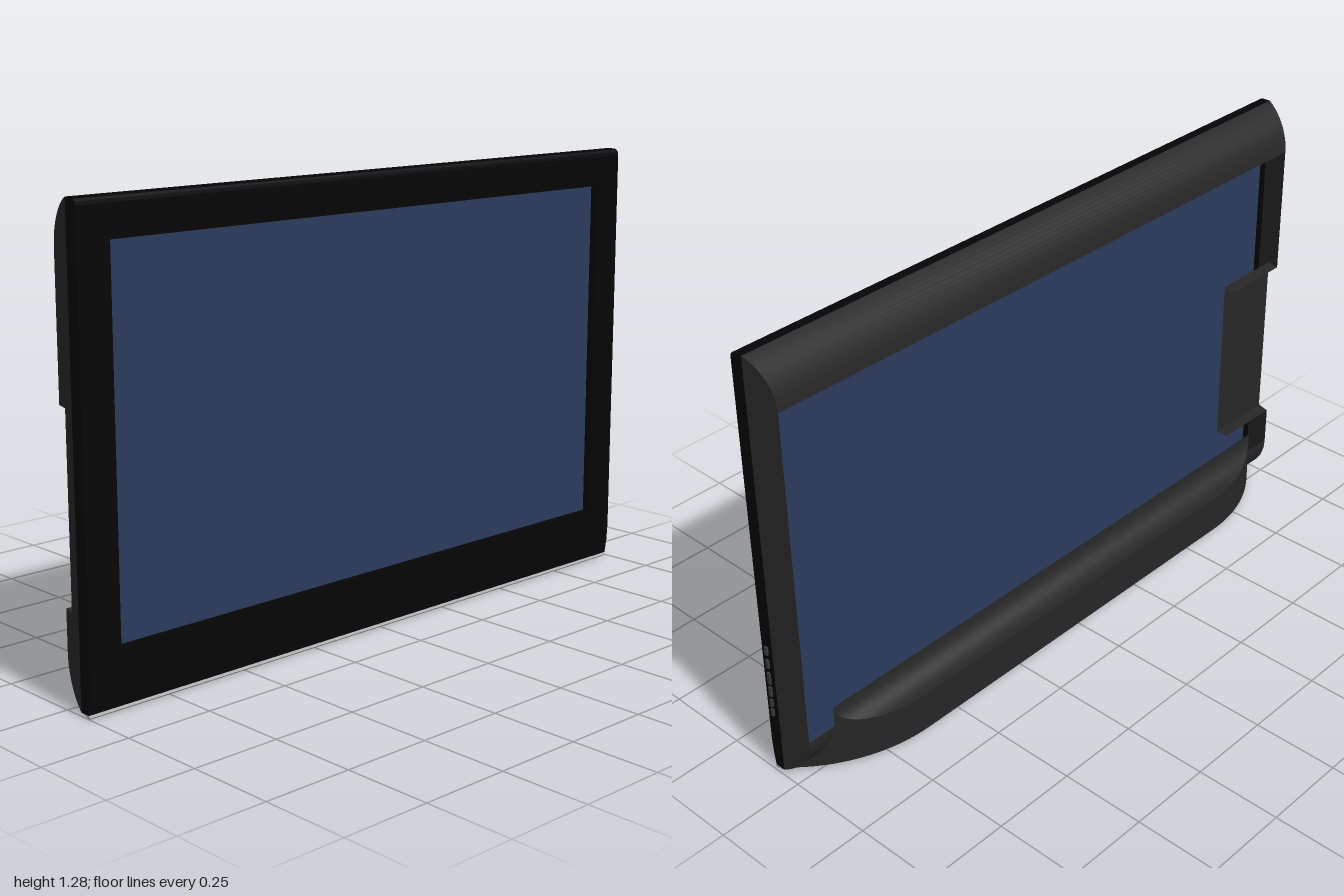
import * as THREE from 'three';

const W = 0.997;                    // half width
const ZF = 0.1, ZS = 0.078, ZM = 0.06, ZB = -0.025, ZH = -0.102; // front, screen, bezel back, shell back, hump back
const Y0 = 0.01, YT = 1.28;
const SX = 0.9, SY0 = 0.165, SY1 = 1.175; // screen opening

const paint = (color) => new THREE.MeshStandardMaterial({ color, side: THREE.DoubleSide });
const black = paint(0x050505), shellMat = paint(0x272727), humpMat = paint(0x262626);
const blue = paint(0x2a3b5e), grey = paint(0xb0b0b0), buttonMat = paint(0x3a3a3a);

// Curved sheet: moves the vertices of a plane to fn(u, v), u and v from 0 to 1
function sheet(fn, nu, nv) {
  const g = new THREE.PlaneGeometry(1, 1, nu, nv);
  const p = g.attributes.position;
  for (let i = 0; i < p.count; i++) p.setXYZ(i, ...fn(p.getX(i) + 0.5, p.getY(i) + 0.5));
  g.computeVertexNormals();
  return g;
}

// Full-width solid with a (z, y) outline
function bar(points) {
  const shape = new THREE.Shape(points.map(([z, y]) => new THREE.Vector2(-z, y)));
  const g = new THREE.ExtrudeGeometry(shape, { depth: 2 * W, bevelEnabled: false });
  return g.translate(0, 0, -W).rotateY(Math.PI / 2);
}

const lerp = THREE.MathUtils.lerp;

// Shell: half width narrows to the back, top and bottom edges round over
const halfAt = (z) => W - 0.024 * (ZM - z) / (ZM - ZB);
const R = 0.142;
const rise = (z) => Math.sqrt(Math.max(0, R * R - (z - ZB - R) ** 2));
const topY = (z) => 1.15 + rise(z), bottomY = (z) => 0.14 - rise(z);
const zCurve = (t) => ZB + (ZM - ZB) * t * t;

// Hump: plan outline and concave upper profile
const RP = 0.494, XF = 0.62;
const plan = (x) => {
  const d = Math.max(0, Math.abs(x) - XF);
  return ZH + RP - Math.sqrt(RP * RP - d * d);
};
const reach = (z) => XF + Math.sqrt(RP * RP - (RP - (z - ZH)) ** 2);
const XE = reach(ZB), XO = reach(ZM);
const scoop = (z) => 0.203 - 0.073 * Math.sqrt(Math.max(0, 1 - ((z - ZH) / (ZB - ZH)) ** 2));
const humpX = (u) => -XE * Math.cos(Math.PI * u); // finer steps toward the ends

// Socket recess on the right-hand back
const NY0 = 0.253, NY1 = 0.768, NZ = 0.015, NX = -0.767;

// Side wall, with a notch where the recess opens
function sideWall(side) {
  const pts = [], n = 14;
  for (let i = 0; i <= n; i++) { const z = zCurve(1 - i / n); pts.push([z, bottomY(z)]); }
  if (side < 0) pts.push([ZB, NY0], [NZ, NY0], [NZ, NY1], [ZB, NY1]);
  for (let i = 0; i <= n; i++) { const z = zCurve(i / n); pts.push([z, topY(z)]); }
  const g = new THREE.ShapeGeometry(new THREE.Shape(pts.map(([z, y]) => new THREE.Vector2(z, y))));
  const p = g.attributes.position;
  for (let i = 0; i < p.count; i++) {
    const z = p.getX(i);
    p.setXYZ(i, side * halfAt(z), p.getY(i), z);
  }
  g.computeVertexNormals();
  return g;
}

export function createModel() {
  const model = new THREE.Group();
  const body = new THREE.Group();
  body.name = 'television';
  body.position.x = W - 1;
  model.add(body);
  const add = (name, geometry, material, x = 0, y = 0, z = 0) => {
    const m = new THREE.Mesh(geometry, material);
    m.name = name;
    m.position.set(x, y, z);
    body.add(m);
  };

  // Front bezel frame, rounded at the top and slanted at the foot
  add('bezelTop', bar([[ZS, SY1], [ZF, SY1], [ZF, 1.262], [0.098, 1.271],
    [0.093, 1.277], [0.086, YT], [ZS, YT]]), black);
  add('bezelBottom', bar([[ZS, Y0], [0.091, Y0], [0.097, 0.05], [ZF, 0.1], [ZF, SY0], [ZS, SY0]]), black);
  for (const s of [-1, 1]) {
    add('bezelSide', new THREE.BoxGeometry(W - SX, SY1 - SY0, ZF - ZS), black,
      s * (W + SX) / 2, (SY0 + SY1) / 2, (ZF + ZS) / 2);
    // Thin rim from the frame back to the shell
    add('rimSide', new THREE.BoxGeometry(0.003, YT - Y0, ZS - ZM), black,
      s * (W - 0.0015), (YT + Y0) / 2, (ZS + ZM) / 2);
  }
  for (const y of [Y0 + 0.0015, YT - 0.0015]) {
    add('rimEdge', new THREE.BoxGeometry(2 * W, 0.003, ZS - ZM), black, 0, y, (ZS + ZM) / 2);
  }
  add('lowerTrim', bar([[ZM, Y0], [0.092, 0], [0.095, 0.004], [0.092, Y0]]), grey);

  // Screen panel, recessed in the frame and seen from both sides
  add('screen', new THREE.PlaneGeometry(2 * W - 0.006, YT - Y0 - 0.006), blue, 0, (YT + Y0) / 2, ZS - 0.001);

  // Open back shell
  for (const [name, yAt] of [['shellTop', topY], ['shellBottom', bottomY]]) {
    add(name, sheet((u, v) => {
      const z = zCurve(v);
      return [lerp(-1, 1, u) * halfAt(z), yAt(z), z];
    }, 1, 14), shellMat);
  }
  add('shellLeft', sideWall(1), shellMat);
  add('shellRight', sideWall(-1), shellMat);

  // Socket recess: plate with a ledge above and below
  const plateEnd = -halfAt(NZ);
  add('socketPlate', new THREE.PlaneGeometry(NX - plateEnd, NY1 - NY0), shellMat,
    (NX + plateEnd) / 2, (NY0 + NY1) / 2, NZ);
  for (const y of [NY0, NY1]) {
    add('socketLedge', sheet((u, v) => {
      const z = lerp(ZB, NZ, v);
      return [lerp(-halfAt(z), NX, u), y, z];
    }, 1, 1), shellMat);
  }

  // Lower rear hump
  add('humpFace', sheet((u, v) => {
    const x = humpX(u), z = plan(x);
    return [x, lerp(Y0, scoop(z), v), z];
  }, 96, 1), humpMat);
  add('humpScoop', sheet((u, v) => {
    const x = humpX(u), z = lerp(ZB, plan(x), v * v);
    return [x, scoop(z), z];
  }, 96, 14), humpMat);
  add('humpInnerWall', sheet((u, v) => [lerp(-XE, XE, u), lerp(0.14, 0.203, v), ZB], 1, 1), humpMat);
  add('humpBase', sheet((u, v) => {
    const x = lerp(-XO, XO, u);
    return [x, Y0, lerp(ZM, plan(x), v)];
  }, 80, 1), humpMat);
  // Ends of the hump, dying into the shell's lower curve
  for (const s of [-1, 1]) {
    add('humpEnd', sheet((u, v) => {
      const z = zCurve(u);
      return [s * reach(z), lerp(Y0, bottomY(z), v), z];
    }, 14, 1), humpMat);
  }

  // Row of side buttons
  for (const [y, h] of [[0.2, 0.022], [0.232, 0.022], [0.27, 0.03], [0.315, 0.036], [0.362, 0.026], [0.405, 0.026]]) {
    add('sideButton', new THREE.BoxGeometry(0.012, h, 0.01), buttonMat, W, y, 0.08);
  }
  return model;
}
